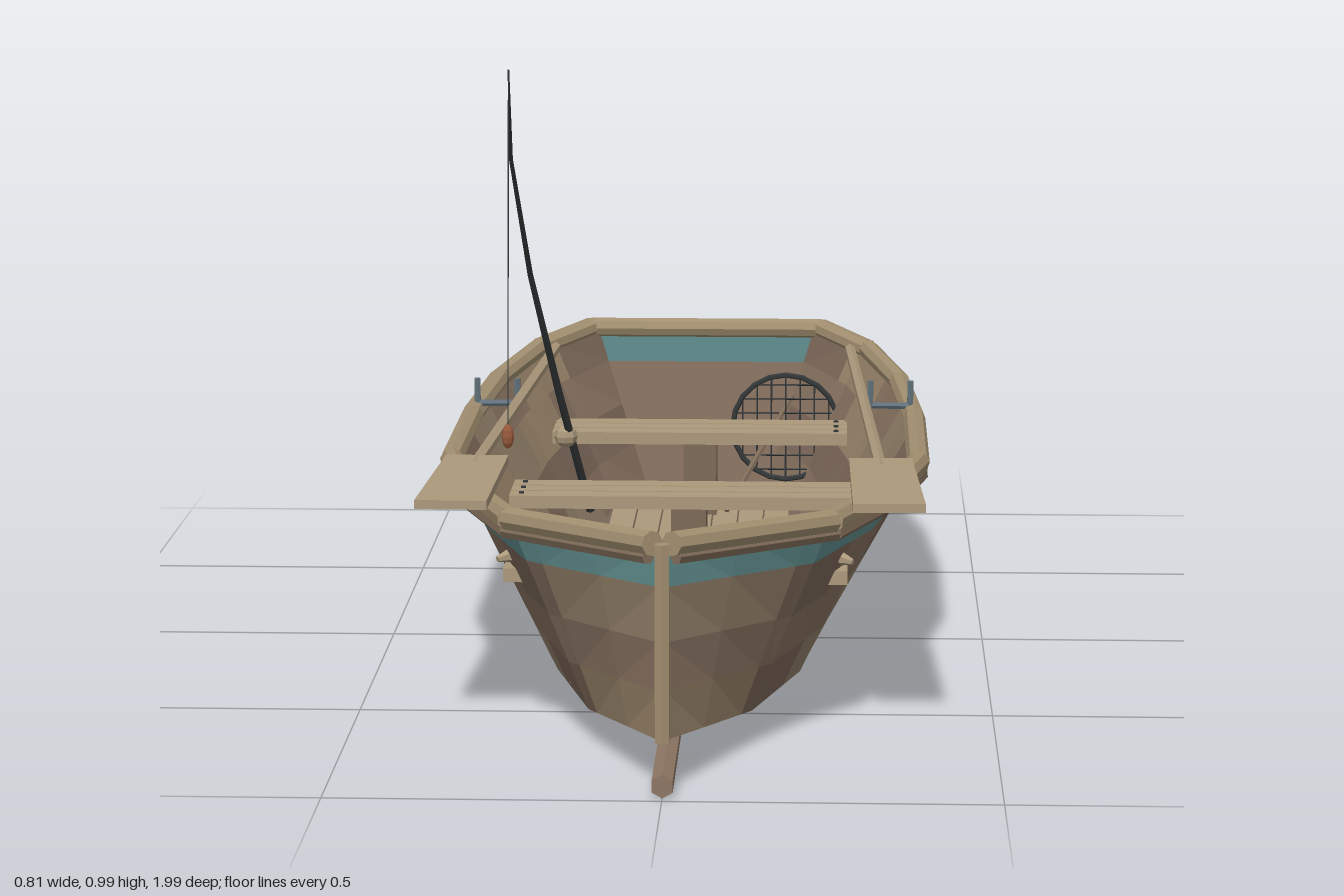
import * as THREE from 'three';

const mat = (color) => new THREE.MeshStandardMaterial({ color, flatShading: true, side: THREE.DoubleSide });
const M = {
  light: mat(0xac997c), rail: mat(0xa28f70), keel: mat(0x8f7765), bottom: mat(0x78675a), teal: mat(0x628f90),
  planks: [0x8b7563, 0x9b866b, 0x7f6a5b, 0x93806a].map(mat),
  steel: mat(0x62727c), dark: mat(0x34383a), post: mat(0x7d6a57), rope: mat(0x8c8270), float: mat(0x9a5a3c), fish: mat(0x9aa6aa),
};
const V = (x, y, z) => new THREE.Vector3(x, y, z);

// Stations: z, sheer half width, sheer height, chine half width, chine height
const ST = [
  [-0.98, 0.22, 0.365, 0.13, 0.065], [-0.83, 0.31, 0.35, 0.18, 0.048], [-0.57, 0.365, 0.337, 0.21, 0.037],
  [-0.27, 0.387, 0.328, 0.222, 0.031], [0.12, 0.387, 0.328, 0.222, 0.031], [0.37, 0.342, 0.336, 0.195, 0.035],
  [0.7, 0.245, 0.354, 0.125, 0.057], [0.98, 0.004, 0.38, 0.004, 0.085],
];
function station(z) {
  let i = 0;
  while (i < ST.length - 2 && z > ST[i + 1][0]) i++;
  const t = (z - ST[i][0]) / (ST[i + 1][0] - ST[i][0]);
  return ST[i].map((v, k) => v + (ST[i + 1][k] - v) * t);
}
// Point on the hull side: t runs from chine (0) to sheer (1)
function side(z, t, s, inset = 0) {
  const [, sx, sy, cx, cy] = station(z);
  return V(s * Math.max(cx + (sx - cx) * t - inset, 0), cy + (sy - cy) * t, z);
}

function add(group, name, geometry, material, pos) {
  const m = new THREE.Mesh(geometry, material);
  m.name = name;
  if (pos) m.position.set(...pos);
  group.add(m);
  return m;
}
const box = (g, name, size, pos, material) => add(g, name, new THREE.BoxGeometry(...size), material, pos);
function bar(g, name, a, b, r0, r1, sides, material) {
  const d = b.clone().sub(a);
  const m = add(g, name, new THREE.CylinderGeometry(r1, r0, d.length(), sides), material);
  m.position.copy(a).addScaledVector(d, 0.5);
  m.quaternion.setFromUnitVectors(V(0, 1, 0), d.normalize());
  return m;
}
function part(parent, name) {
  const g = new THREE.Group();
  g.name = name;
  parent.add(g);
  return g;
}

function buildHull(boat) {
  const hull = part(boat, 'hull');
  const buckets = new Map();
  const quad = (material, a, b, c, d, flip) => {
    if (!buckets.has(material)) buckets.set(material, []);
    const order = flip ? [a, c, b, a, d, c] : [a, b, c, a, c, d];
    for (const p of order) buckets.get(material).push(p.x, p.y, p.z);
  };
  const rows = [0, 0.25, 0.5, 0.78, 1];
  const cuts = ST.map((s) => s[0]);
  for (let i = 1; i < 16; i++) cuts.push(-0.98 + i * 0.1225);
  const zs = [...new Set(cuts)].sort((a, b) => a - b);
  for (let i = 0; i < zs.length - 1; i++) {
    const z0 = zs[i], z1 = zs[i + 1], mid = (z0 + z1) / 2;
    for (const s of [1, -1]) {
      for (let r = 0; r < 4; r++) {
        // Staggered planks in alternating browns, painted top strake outside
        const col = Math.floor((mid + 0.98) / 0.245 + (r % 2) * 0.5);
        const brown = M.planks[(col * 3 + r * 2 + (col * r) % 3) % 4];
        const ring = (inset) => [side(z0, rows[r], s, inset), side(z0, rows[r + 1], s, inset),
          side(z1, rows[r + 1], s, inset), side(z1, rows[r], s, inset)];
        quad(r === 3 ? M.teal : brown, ...ring(0), s > 0);
        quad(brown, ...ring(0.013), s < 0);
      }
    }
    quad(M.bottom, side(z0, 0, -1), side(z0, 0, 1), side(z1, 0, 1), side(z1, 0, -1), false);
  }
  // Flat transom
  for (const [t0, t1, m] of [[0, 0.78, M.keel], [0.78, 1, M.teal]])
    quad(m, side(-0.98, t0, -1), side(-0.98, t1, -1), side(-0.98, t1, 1), side(-0.98, t0, 1), false);
  for (const [material, points] of buckets) {
    const g = new THREE.BufferGeometry();
    g.setAttribute('position', new THREE.Float32BufferAttribute(points, 3));
    g.computeVertexNormals();
    add(hull, 'hullPlanks', g, material);
  }
  // Gunwale with a thinner rub rail beneath
  const rails = part(boat, 'gunwale');
  for (const s of [1, -1]) for (let i = 0; i < ST.length - 1; i++) {
    const a = side(ST[i][0], 1, s), b = side(ST[i + 1][0], 1, s);
    if (i === ST.length - 2) b.x += s * 0.01;
    bar(rails, 'gunwaleRail', a, b, 0.019, 0.019, 8, M.rail);
    const drop = V(s * 0.006, -0.02, 0);
    bar(rails, 'rubRail', a.clone().add(drop), b.clone().add(drop), 0.011, 0.011, 6, M.post);
  }
  bar(rails, 'sternRail', side(-0.98, 1, -1), side(-0.98, 1, 1), 0.018, 0.018, 8, M.rail);
  bar(boat, 'keel', V(0, 0.017, -0.98), V(0, 0.017, 0.985), 0.018, 0.018, 6, M.keel);
  bar(boat, 'stem', V(0, 0.083, 0.983), V(0, 0.38, 0.983), 0.012, 0.012, 6, M.rail);
  // Small pegs on the bow sides
  for (const s of [1, -1]) {
    const p = side(0.51, 0.7, s);
    bar(boat, 'bowPeg', p, p.clone().add(V(s * 0.018, -0.004, 0.01)), 0.011, 0.005, 6, M.light);
  }
}

function buildInterior(boat) {
  const floor = part(boat, 'floor');
  for (let i = 0; i < 7; i++)
    box(floor, 'floorPlank', [0.044, 0.014, 1.36], [(i - 3) * 0.047, 0.066, -0.13], M.light);
  for (const [z, half] of [[-0.67, 0.27], [-0.105, 0.305], [0.445, 0.27]]) {
    const seat = part(boat, 'seat');
    for (let i = -1; i <= 1; i++) {
      box(seat, 'seatSlat', [half * 2, 0.022, 0.041], [0, 0.222, z + i * 0.046], M.light);
      for (const s of [1, -1])
        add(seat, 'seatNail', new THREE.CylinderGeometry(0.005, 0.005, 0.004, 6), M.dark, [s * (half - 0.02), 0.234, z + i * 0.046]);
    }
    box(seat, 'seatPost', [0.06, 0.14, 0.07], [0, 0.142, z], M.post);
  }
}

function buildOars(boat) {
  for (const s of [1, -1]) {
    const oar = part(boat, s > 0 ? 'leftOar' : 'rightOar');
    bar(oar, 'oarShaft', V(s * 0.275, 0.36, -0.78), V(s * 0.322, 0.378, 0.42), 0.01, 0.01, 6, M.light);
    // Blade widens toward its tip
    const g = new THREE.BoxGeometry(0.1, 0.014, 0.35);
    const p = g.attributes.position;
    for (let i = 0; i < p.count; i++) if (p.getZ(i) > 0) p.setX(i, p.getX(i) * 1.1);
    add(oar, 'oarBlade', g, M.light, [s * 0.327, 0.379, 0.545]).rotation.y = s * 0.03;
    const lock = part(boat, 'oarlock');
    for (const x of [0.31, 0.38])
      bar(lock, 'oarlockPin', V(s * x, 0.34, -0.3), V(s * x, 0.388, -0.3), 0.006, 0.006, 6, M.steel);
    bar(lock, 'oarlockBase', V(s * 0.31, 0.344, -0.3), V(s * 0.38, 0.344, -0.3), 0.006, 0.006, 6, M.steel);
  }
}

function buildGear(boat) {
  // Bucket with a catch of fish
  const bucket = part(boat, 'bucket');
  bucket.position.set(0.105, 0.073, 0.17);
  const wall = [[0, 0.003], [0.055, 0.003], [0.074, 0.135]].map(([x, y]) => new THREE.Vector2(x, y));
  add(bucket, 'bucketWall', new THREE.LatheGeometry(wall, 16), M.steel);
  const rim = add(bucket, 'bucketRim', new THREE.TorusGeometry(0.074, 0.004, 6, 16), M.steel, [0, 0.135, 0]);
  rim.rotation.x = Math.PI / 2;
  const handle = add(bucket, 'bucketHandle', new THREE.TorusGeometry(0.075, 0.003, 5, 16, Math.PI), M.dark, [0, 0.135, 0]);
  handle.rotation.x = 1.35;
  for (let i = -2; i <= 2; i++)
    add(bucket, 'fish', new THREE.SphereGeometry(1, 8, 6), M.fish, [i * 0.02, 0.1, 0]).scale.set(0.009, 0.016, 0.055 - Math.abs(i) * 0.007);

  // Fishing rod, line and float
  const rod = part(boat, 'fishingRod');
  const pts = [V(-0.19, 0.125, -0.43), V(-0.235, 0.37, -0.27), V(-0.272, 0.6, -0.12), V(-0.29, 0.82, 0.05), V(-0.277, 0.99, 0.25)];
  const radii = [0.008, 0.007, 0.005, 0.0035, 0.0015];
  for (let i = 0; i < 4; i++) bar(rod, 'rodSection', pts[i], pts[i + 1], radii[i], radii[i + 1], 6, M.dark);
  add(rod, 'reel', new THREE.SphereGeometry(0.021, 8, 6), M.light, [-0.227, 0.28, -0.33]);
  bar(rod, 'fishingLine', pts[4], V(-0.272, 0.43, 0.375), 0.001, 0.001, 4, M.dark);
  add(rod, 'float', new THREE.SphereGeometry(0.01, 8, 6), M.float, [-0.272, 0.418, 0.378]).scale.y = 2;

  // Landing net leaning at the stern
  const net = part(boat, 'landingNet');
  net.position.set(0.155, 0.2, -0.835);
  add(net, 'netHoop', new THREE.TorusGeometry(0.1, 0.005, 6, 20), M.dark);
  for (let i = -3; i <= 3; i++) {
    const k = i * 0.027, h = Math.sqrt(0.01 - k * k);
    bar(net, 'netCord', V(k, -h, 0), V(k, h, 0), 0.0015, 0.0015, 4, M.dark);
    bar(net, 'netCord', V(-h, k, 0), V(h, k, 0), 0.0015, 0.0015, 4, M.dark);
  }
  bar(boat, 'netHandle', V(0.165, 0.25, -0.88), V(0.05, 0.09, -0.6), 0.006, 0.006, 6, M.post);

  // Rope coil on the floor at the bow
  const coil = part(boat, 'ropeCoil');
  for (let i = 0; i < 4; i++) {
    const t = add(coil, 'ropeTurn', new THREE.TorusGeometry(0.08 - (i % 2) * 0.015, 0.006, 6, 18), M.rope, [-0.08, 0.08 + i * 0.009, 0.48]);
    t.rotation.x = Math.PI / 2;
  }
}

export function createModel() {
  const boat = new THREE.Group();
  boat.name = 'rowingBoat';
  buildHull(boat);
  buildInterior(boat);
  buildOars(boat);
  buildGear(boat);
  return boat;
}
